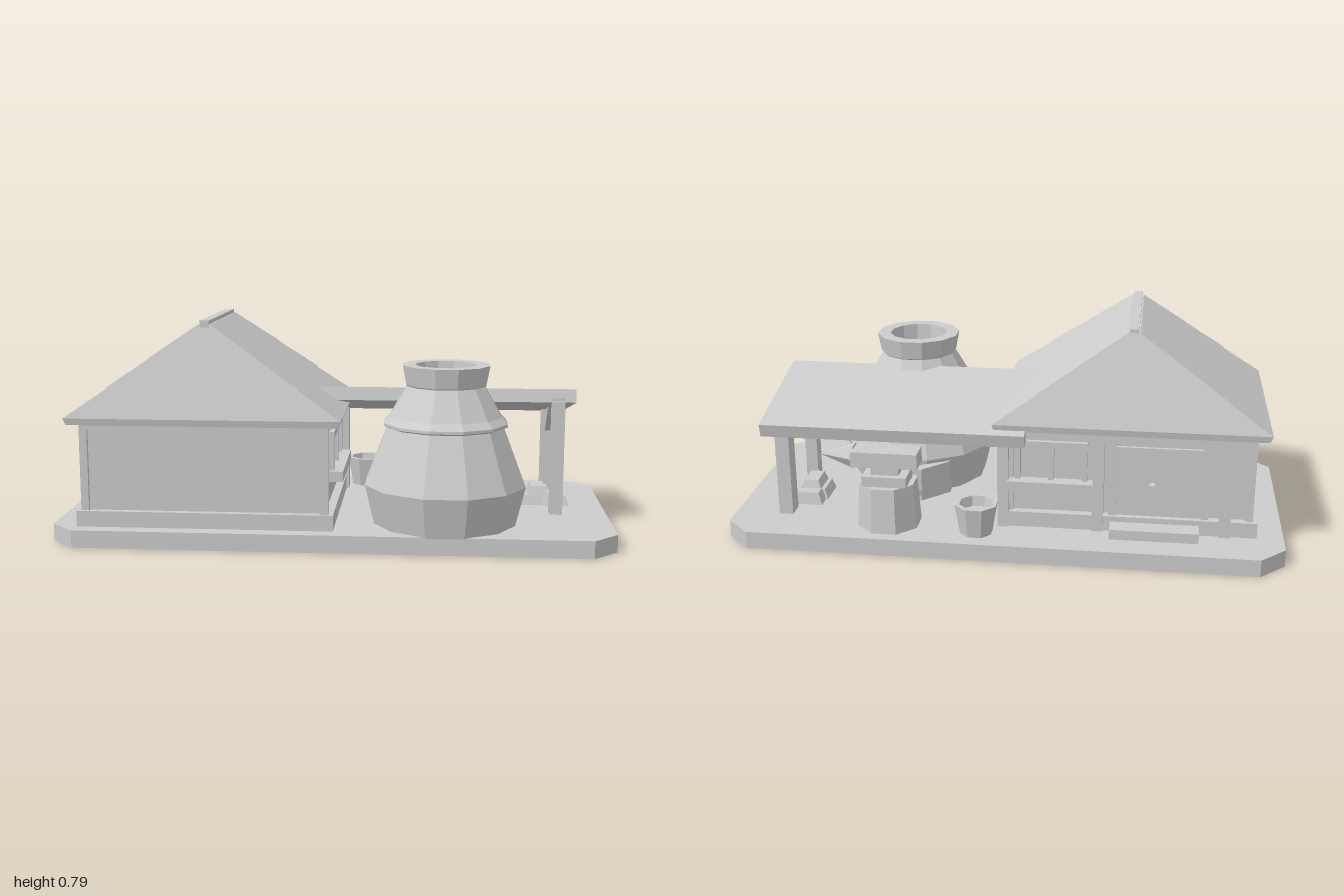
import * as THREE from 'three';

const stone = new THREE.MeshStandardMaterial({ color: 0xcccccc, flatShading: true, side: THREE.DoubleSide });
stone.name = 'plain grey';

export function createModel() {
  const root = new THREE.Group();

  function add(name, geo, x = 0, y = 0, z = 0) {
    const m = new THREE.Mesh(geo, stone);
    m.name = name;
    m.position.set(x, y, z);
    root.add(m);
    return m;
  }
  // Box given by its limits on each axis
  const box = (name, x0, x1, y0, y1, z0, z1) =>
    add(name, new THREE.BoxGeometry(x1 - x0, y1 - y0, z1 - z0), (x0 + x1) / 2, (y0 + y1) / 2, (z0 + z1) / 2);
  // Faceted turned shape with flat sides facing the axes
  const turned = (name, pts, sides, x, z) => {
    const g = new THREE.LatheGeometry(pts.map(p => new THREE.Vector2(p[0], p[1])), sides);
    g.rotateY(Math.PI / sides);
    return add(name, g, x, 0, z);
  };
  // Rectangular block with a smaller (or larger) top
  function taper(name, x, z, y0, y1, hx0, hz0, hx1, hz1) {
    const g = new THREE.BoxGeometry(2, y1 - y0, 2);
    const p = g.attributes.position;
    for (let i = 0; i < p.count; i++) {
      const top = p.getY(i) > 0;
      p.setX(i, p.getX(i) * (top ? hx1 : hx0));
      p.setZ(i, p.getZ(i) * (top ? hz1 : hz0));
    }
    g.computeVertexNormals();
    return add(name, g, x, (y0 + y1) / 2, z);
  }

  // Hollow ground slab with chamfered corners
  const c = 0.09, X = 1, Z0 = -0.485, Z1 = 0.45, H = 0.063;
  const ring = [[-X + c, Z1], [X - c, Z1], [X, Z1 - c], [X, Z0 + c], [X - c, Z0], [-X + c, Z0], [-X, Z0 + c], [-X, Z1 - c]];
  const v = [];
  ring.forEach(([ax, az], i) => {
    const [bx, bz] = ring[(i + 1) % ring.length];
    v.push(ax, 0, az, bx, 0, bz, bx, H, bz, ax, 0, az, bx, H, bz, ax, H, az);
    v.push(0, H, 0, ax, H, az, bx, H, bz);
  });
  const slab = new THREE.BufferGeometry();
  slab.setAttribute('position', new THREE.Float32BufferAttribute(v, 3));
  slab.computeVertexNormals();
  add('groundSlab', slab);

  // House body
  const hx = -0.448, hz = 0.042;
  box('foundation', -0.905, 0.01, 0.055, 0.12, -0.315, 0.395);
  box('walls', -0.875, -0.02, 0.1, 0.445, -0.285, 0.37);
  for (const x of [-0.875, -0.02])
    for (const z of [-0.285, 0.37])
      box('cornerPost', x - 0.014, x + 0.014, 0.1, 0.44, z - 0.014, z + 0.014);
  box('topRail', -0.889, -0.006, 0.41, 0.44, -0.299, 0.384);

  // Hipped roof in overlapping courses
  taper('eave', hx, hz, 0.432, 0.456, 0.478, 0.37, 0.487, 0.375);
  const edge = t => [0.487 - 0.475 * t, 0.375 - 0.108 * t];
  const courses = [[0.456, 0.565, 0], [0.56, 0.67, 0.007], [0.664, 0.778, 0.01]];
  for (const [y0, y1, out] of courses) {
    const a = edge((y0 - 0.456) / 0.322), b = edge((y1 - 0.456) / 0.322);
    taper('roofCourse', hx, hz, y0, y1, a[0] + out, a[1] + out / 2, b[0] + out, b[1] + out / 2);
  }
  box('ridgeCap', hx - 0.016, hx + 0.016, 0.765, 0.792, -0.23, 0.317);

  // Back of the house: posts, door, step and window
  for (const x of [0.0, -0.34, -0.79]) box('backPost', x - 0.02, x + 0.02, 0.06, 0.435, -0.325, -0.285);
  box('backBeam', -0.81, 0.02, 0.4, 0.435, -0.315, -0.285);
  box('door', -0.71, -0.4, 0.11, 0.38, -0.296, -0.28);
  for (const x of [-0.72, -0.39]) box('doorFrame', x - 0.012, x + 0.012, 0.1, 0.4, -0.304, -0.28);
  box('doorHandle', -0.54, -0.52, 0.22, 0.25, -0.325, -0.29);
  box('doorStep', -0.7, -0.385, 0.06, 0.1, -0.385, -0.3);
  box('backSill', -0.325, -0.015, 0.21, 0.245, -0.335, -0.28);
  for (const x of [-0.29, -0.17, -0.05]) box('backWindowBar', x - 0.01, x + 0.01, 0.245, 0.385, -0.305, -0.28);
  box('backWindowHead', -0.3, -0.04, 0.37, 0.39, -0.305, -0.28);

  // Window in the left wall, facing the workshop
  box('sideSill', -0.03, 0.035, 0.207, 0.245, -0.165, 0.245);
  box('sideWindowHead', -0.03, 0.002, 0.365, 0.387, -0.147, 0.227);
  for (const z of [-0.137, 0.04, 0.217]) box('sideWindowBar', -0.03, 0.002, 0.245, 0.387, z - 0.01, z + 0.01);

  // Lean-to roof with posts and braces
  const leanTo = add('leanToRoof', new THREE.BoxGeometry(0.955, 0.049, 0.459), 0.3975, 0.456, -0.134);
  leanTo.rotation.x = -0.225;
  box('frontPost', 0.79, 0.836, 0.06, 0.5, 0.04, 0.094);
  box('rearPost', 0.785, 0.836, 0.06, 0.43, -0.316, -0.25);
  const brace = add('rearBrace', new THREE.BoxGeometry(0.03, 0.03, 0.17), 0.812, 0.385, -0.205);
  brace.rotation.x = -0.8;

  // Large kiln with an open mouth
  const kiln = [[0.26, 0.06], [0.295, 0.205], [0.214, 0.412], [0.227, 0.418], [0.227, 0.428], [0.205, 0.45],
    [0.142, 0.558], [0.146, 0.562], [0.159, 0.632], [0.11, 0.632], [0.105, 0.57], [0, 0.57]];
  turned('kiln', kiln, 12, 0.4, 0.2);
  // Low hearth behind the kiln
  turned('hearth', [[0.17, 0.05], [0.17, 0.19], [0.13, 0.19], [0.13, 0.16], [0, 0.16]], 8, 0.4, 0.02);
  add('hearthArch', new THREE.TorusGeometry(0.055, 0.012, 4, 8, Math.PI), 0.4, 0.085, -0.137);

  // Anvil on a tree stump
  turned('stump', [[0.118, 0.055], [0.106, 0.23], [0, 0.23]], 8, 0.415, -0.333);
  box('anvilFoot', 0.335, 0.495, 0.23, 0.268, -0.41, -0.295);
  box('anvilWaist', 0.365, 0.465, 0.268, 0.305, -0.39, -0.32);
  box('anvilTop', 0.295, 0.535, 0.3, 0.357, -0.405, -0.31);
  const horn = add('anvilHorn', new THREE.ConeGeometry(0.048, 0.13, 6), 0.595, 0.325, -0.35);
  horn.rotation.z = -Math.PI / 2;

  // Quenching bucket
  turned('bucket', [[0, 0.065], [0.06, 0.065], [0.08, 0.178], [0.062, 0.178], [0.056, 0.14], [0, 0.14]], 8, 0.088, -0.38);

  // Stacked metal bars
  for (const x of [0.738, 0.832]) taper('bar', x, -0.11, 0.06, 0.1, 0.046, 0.062, 0.032, 0.052);
  taper('topBar', 0.758, -0.11, 0.1, 0.134, 0.037, 0.055, 0.026, 0.044);
  taper('looseBar', 0.76, -0.195, 0.06, 0.108, 0.06, 0.031, 0.045, 0.022);

  return root;
}
